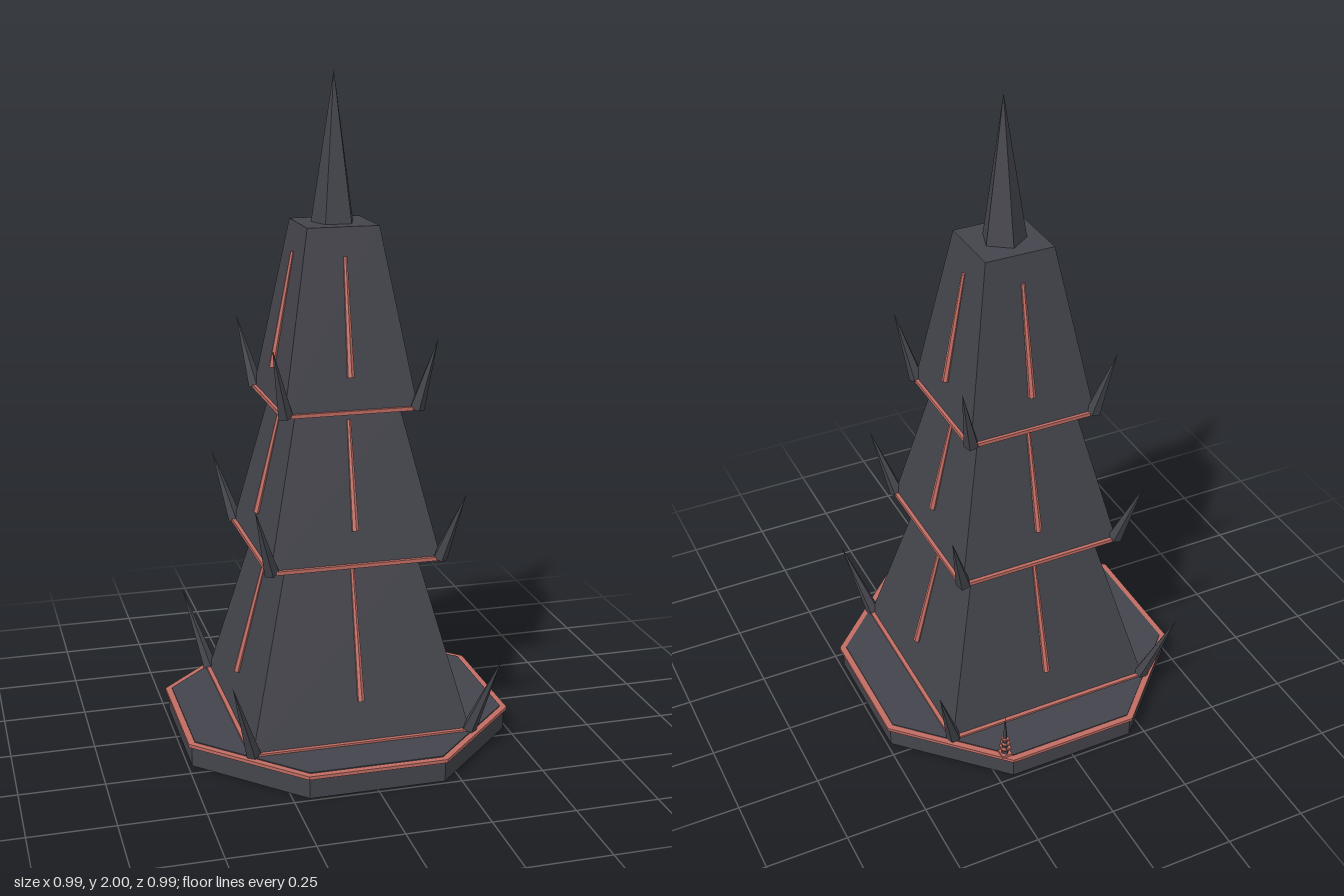
import * as THREE from 'three';

export function createModel() {
  const stone = new THREE.MeshStandardMaterial({ color: 0x44454c, flatShading: true });
  stone.name = 'dark stone';
  const red = new THREE.MeshStandardMaterial({ color: 0xc06c63, flatShading: true });
  red.name = 'dull red trim';
  const root = new THREE.Group();
  root.name = 'spiredTower';

  const add = (name, geo, mat, x = 0, y = 0, z = 0, parent = root) => {
    const mesh = new THREE.Mesh(geo, mat);
    mesh.name = name;
    mesh.position.set(x, y, z);
    parent.add(mesh);
    return mesh;
  };
  // Prism with flat sides facing the axes, sized by half its width, standing on y0
  const prism = (name, sides, bottom, top, y0, y1, mat) => {
    const k = 1 / Math.cos(Math.PI / sides);
    const geo = new THREE.CylinderGeometry(top * k, bottom * k, y1 - y0, sides);
    geo.rotateY(Math.PI / sides);
    return add(name, geo, mat, 0, (y0 + y1) / 2, 0);
  };
  // Tapered rod between two points
  const rod = (name, a, b, r0, r1, sides, mat) => {
    const dir = b.clone().sub(a);
    const mesh = add(name, new THREE.CylinderGeometry(r1, r0, dir.length(), sides), mat);
    mesh.position.copy(a).add(b).multiplyScalar(0.5);
    mesh.quaternion.setFromUnitVectors(new THREE.Vector3(0, 1, 0), dir.normalize());
    return mesh;
  };

  // Octagonal plinth with a red rim
  prism('plinth', 8, 0.488, 0.488, 0, 0.062, stone);
  prism('plinthRim', 8, 0.497, 0.497, 0.062, 0.072, red);
  prism('plinthFloor', 8, 0.478, 0.478, 0.062, 0.075, stone);

  // Stacked tiers: heights, half widths, thorn tip and face strip extents
  const tiers = [
    { y0: 0.07, y1: 0.6, w0: 0.333, w1: 0.199, trim: 0.343, tip: [0.403, 0.325], strip: [0.195, 0.575] },
    { y0: 0.595, y1: 1.04, w0: 0.258, w1: 0.157, trim: 0.267, tip: [0.313, 0.81], strip: [0.7, 1.015] },
    { y0: 1.04, y1: 1.567, w0: 0.2, w1: 0.107, trim: 0.208, tip: [0.243, 1.257], strip: [1.145, 1.485] },
  ];
  tiers.forEach((t, i) => {
    const n = i + 1;
    prism('tierBody' + n, 4, t.w0, t.w1, t.y0, t.y1, stone);
    prism('tierTrim' + n, 4, t.trim, t.trim, t.y0, t.y0 + 0.011, red);

    const face = (y) => t.w0 + (t.w1 - t.w0) * (y - t.y0) / (t.y1 - t.y0);
    for (let k = 0; k < 4; k++) {
      // Corner thorns lean outward
      const a = Math.PI / 4 + k * Math.PI / 2;
      const sx = Math.sign(Math.sin(a)), sz = Math.sign(Math.cos(a));
      const c = t.w0 - 0.004;
      rod('cornerThorn' + n, new THREE.Vector3(sx * c, t.y0 + 0.004, sz * c),
        new THREE.Vector3(sx * t.tip[0], t.tip[1], sz * t.tip[0]), 0.023, 0, 5, stone);

      // Red strip running up the middle of each face
      const b = k * Math.PI / 2;
      const at = (y, out) => new THREE.Vector3(Math.sin(b) * (face(y) + out), y, Math.cos(b) * (face(y) + out));
      rod('faceStrip' + n, at(t.strip[0], 0.006), at(t.strip[1], 0.003), 0.011, 0.006, 6, red);
    }
  });

  // Five-sided spire
  const spire = add('spire', new THREE.ConeGeometry(0.067, 0.435, 5), stone, 0, 1.7825, 0);
  spire.rotation.y = Math.PI;

  // Small ringed finial on the back of the plinth
  const finial = new THREE.Group();
  finial.name = 'smallFinial';
  finial.position.set(0.217, 0.072, -0.46);
  root.add(finial);
  add('finialBase', new THREE.BoxGeometry(0.032, 0.008, 0.032), red, 0, 0.004, 0, finial);
  add('finialSpike', new THREE.ConeGeometry(0.013, 0.15, 4), stone, 0, 0.078, 0, finial);
  [[0.028, 0.028], [0.046, 0.024], [0.064, 0.02]].forEach(([y, w]) =>
    add('finialRing', new THREE.BoxGeometry(w, 0.006, w), red, 0, y, 0, finial));

  return root;
}
